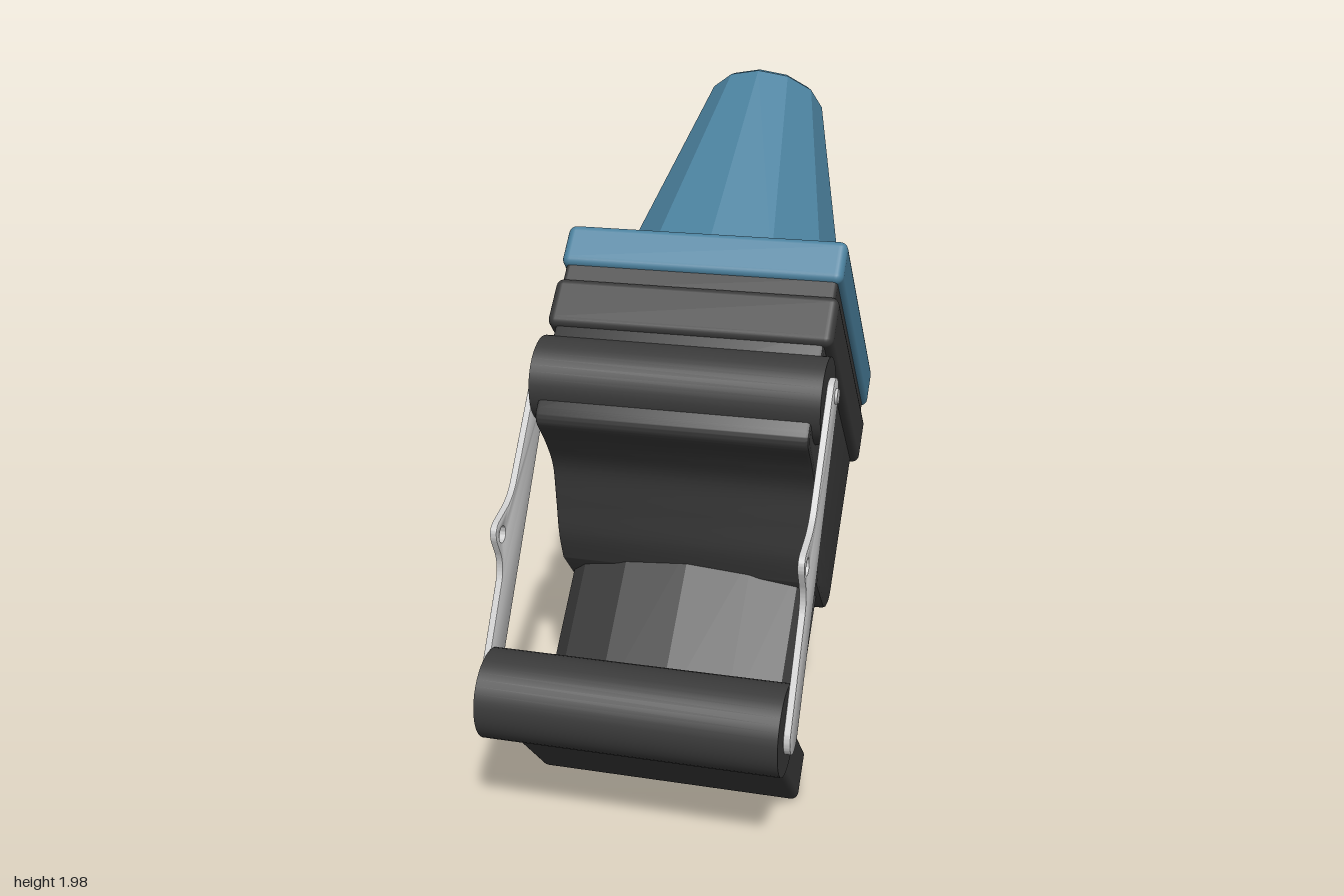
import * as THREE from 'three';
import { RoundedBoxGeometry } from 'three/addons/geometries/RoundedBoxGeometry.js';
import { toCreasedNormals } from 'three/addons/utils/BufferGeometryUtils.js';

const blue = new THREE.MeshStandardMaterial({ color: 0x4b819e });
const blueFlat = new THREE.MeshStandardMaterial({ color: 0x4b819e, flatShading: true });
const black = new THREE.MeshStandardMaterial({ color: 0x3a3a3a });
const blackFlat = new THREE.MeshStandardMaterial({ color: 0x3a3a3a, flatShading: true });
const grey = new THREE.MeshStandardMaterial({ color: 0xcccccc });
const greyFlat = new THREE.MeshStandardMaterial({ color: 0xcccccc, flatShading: true });

function add(parent, name, geometry, material, x = 0, y = 0, z = 0) {
  const mesh = new THREE.Mesh(geometry, material);
  mesh.name = name;
  mesh.position.set(x, y, z);
  parent.add(mesh);
  return mesh;
}

// Extrudes a (z, y) side profile across x, centred, keeping its outline size
function sideExtrude(shape, width, bevel) {
  const g = new THREE.ExtrudeGeometry(shape, {
    depth: width - 2 * bevel, bevelThickness: bevel, bevelSize: bevel,
    bevelOffset: -bevel, bevelSegments: 2, curveSegments: 16,
  });
  g.translate(0, 0, -(width - 2 * bevel) / 2);
  g.rotateY(-Math.PI / 2);
  return toCreasedNormals(g, 0.6);
}

// Cylinder lying along x
function barX(radius, length, sides = 40) {
  return new THREE.CylinderGeometry(radius, radius, length, sides).rotateZ(Math.PI / 2);
}

// Housing profile in (depth, height) of the tilted frame
function housingShape() {
  const s = new THREE.Shape();
  s.moveTo(0.336, 0.82);
  s.lineTo(0.336, 0.33);
  s.quadraticCurveTo(0.336, 0.24, 0.44, 0.236);
  s.lineTo(0.62, 0.24);
  s.splineThru([[0.71, 0.285], [0.80, 0.355], [0.90, 0.428], [1.00, 0.455], [1.10, 0.465]]
    .map(p => new THREE.Vector2(...p)));
  s.quadraticCurveTo(1.15, 0.467, 1.15, 0.51);
  s.lineTo(1.15, 0.82);
  s.closePath();
  return s;
}

// Flat lever in (z, y): two round ends, a tab with a hole at the front
function leverShape() {
  const top = [0.303, 1.228], bottom = [0.838, 0.435], r = 0.053;
  const dir = Math.atan2(top[1] - bottom[1], top[0] - bottom[0]);
  const s = new THREE.Shape();
  s.absarc(...top, r, dir - Math.PI / 2, dir + Math.PI / 2, false);
  s.absarc(...bottom, 0.057, dir + Math.PI / 2, dir + Math.PI * 1.5, false);
  s.lineTo(0.715, 0.73);
  s.quadraticCurveTo(0.69, 0.77, 0.712, 0.82);
  s.lineTo(0.735, 0.865);
  s.quadraticCurveTo(0.75, 0.91, 0.705, 0.92);
  s.lineTo(0.64, 0.935);
  s.quadraticCurveTo(0.59, 0.95, 0.56, 0.99);
  s.closePath();
  const hole = new THREE.Path();
  hole.absarc(0.69, 0.87, 0.024, 0, Math.PI * 2, true);
  s.holes.push(hole);
  return s;
}

export function createModel() {
  const model = new THREE.Group();
  model.name = 'tiltedClampConnector';

  // Main parts share one axis leaning back by 45 degrees
  const tilted = new THREE.Group();
  tilted.name = 'connectorBody';
  tilted.rotation.x = -Math.PI / 4;
  model.add(tilted);
  const axis = 0.737;

  // Blue cap: twelve-sided cone, plate and hexagonal nut
  const cone = [[0.378, 1.1], [0.192, 1.89], [0.175, 1.907], [0, 1.907]]
    .map(p => new THREE.Vector2(...p));
  add(tilted, 'capCone', new THREE.LatheGeometry(cone, 12), blueFlat, 0, 0, axis);
  add(tilted, 'capPlate', new RoundedBoxGeometry(0.86, 0.14, 0.86, 3, 0.025), blue, 0, 1.054, axis);
  const nut = new THREE.CylinderGeometry(0.07, 0.07, 0.05, 6).rotateY(Math.PI / 6);
  nut.rotateY(Math.PI / 3 - Math.PI / 6 + Math.PI / 6 + Math.PI / 6);
  add(tilted, 'capNut', nut, greyFlat, 0, 1.922, axis);

  // Black housing under the cap
  add(tilted, 'seal', new RoundedBoxGeometry(0.83, 0.12, 0.83, 2, 0.015), black, 0, 0.95, axis);
  add(tilted, 'flange', new RoundedBoxGeometry(0.86, 0.16, 0.86, 3, 0.025), black, 0, 0.857, axis);
  add(tilted, 'housing', sideExtrude(housingShape(), 0.81, 0.012), black);

  // Flattened twelve-sided neck and the foot plate
  const neck = new THREE.CylinderGeometry(1, 1, 0.56, 12).scale(0.39, 1, 0.13);
  add(tilted, 'neck', neck, blackFlat, 0, 0.04, 0.518);
  add(tilted, 'footPlate', new RoundedBoxGeometry(0.81, 0.155, 0.55, 3, 0.022), black, 0, -0.281, 0.635);

  // Cross bars at both ends of the levers
  add(model, 'upperBar', barX(0.128, 0.86), black, 0, 1.214, 0.31);
  add(model, 'lowerBar', barX(0.128, 0.86), black, 0, 0.446, 0.843);

  // Mirrored levers with pivot pins
  for (const [side, sign] of [['left', 1], ['right', -1]]) {
    add(model, side + 'Lever', sideExtrude(leverShape(), 0.02, 0.003), grey, sign * 0.44);
    add(model, side + 'PivotPin', barX(0.023, 0.04, 20), grey, sign * 0.438, 1.228, 0.303);
  }
  return model;
}
